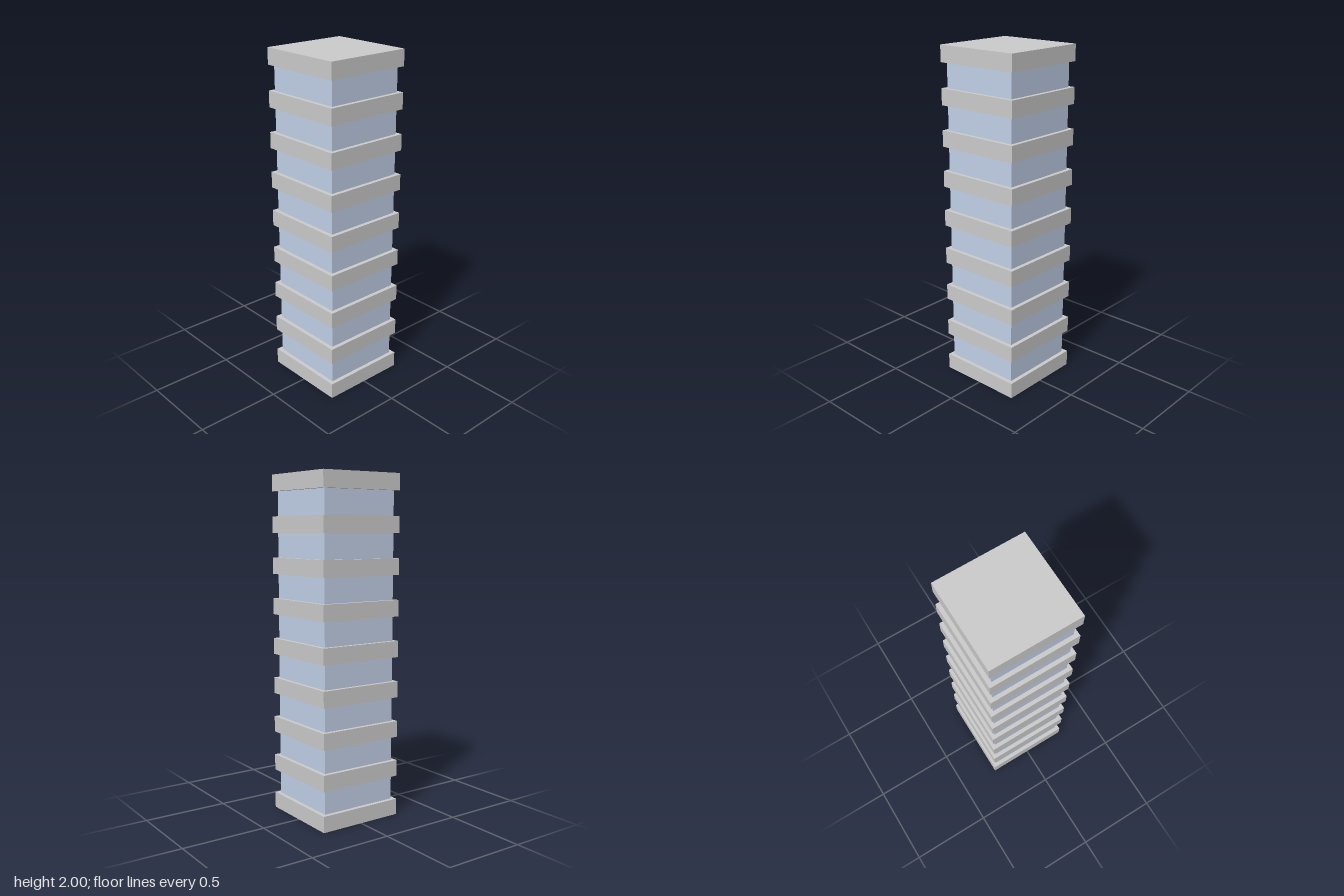
import * as THREE from 'three';

const FLOORS = 8;
const SLAB_HEIGHT = 2 / 21;
const STOREY = (2 - SLAB_HEIGHT) / FLOORS; // slab to slab
const SLAB_WIDTH = 0.524;
const GLASS_WIDTH = 0.476;

export function createModel() {
  const tower = new THREE.Group();
  tower.name = 'tower';

  const concrete = new THREE.MeshStandardMaterial({ color: 0xcccccc });
  const glass = new THREE.MeshStandardMaterial({ color: 0xc2d0e8 });

  const glassHeight = STOREY - SLAB_HEIGHT;
  const slabGeometry = new THREE.BoxGeometry(SLAB_WIDTH, SLAB_HEIGHT, SLAB_WIDTH);
  const glassGeometry = new THREE.BoxGeometry(GLASS_WIDTH, glassHeight, GLASS_WIDTH);

  const addBlock = (name, geometry, material, y) => {
    const mesh = new THREE.Mesh(geometry, material);
    mesh.name = name;
    mesh.position.y = y;
    tower.add(mesh);
  };

  // Projecting floor slabs, with a recessed glazed storey above each but the roof
  for (let i = 0; i <= FLOORS; i++) {
    const base = i * STOREY;
    const slabName = i === FLOORS ? 'roofSlab' : `floorSlab${i + 1}`;
    addBlock(slabName, slabGeometry, concrete, base + SLAB_HEIGHT / 2);
    if (i < FLOORS) {
      addBlock(`glazedStorey${i + 1}`, glassGeometry, glass, base + SLAB_HEIGHT + glassHeight / 2);
    }
  }

  return tower;
}
